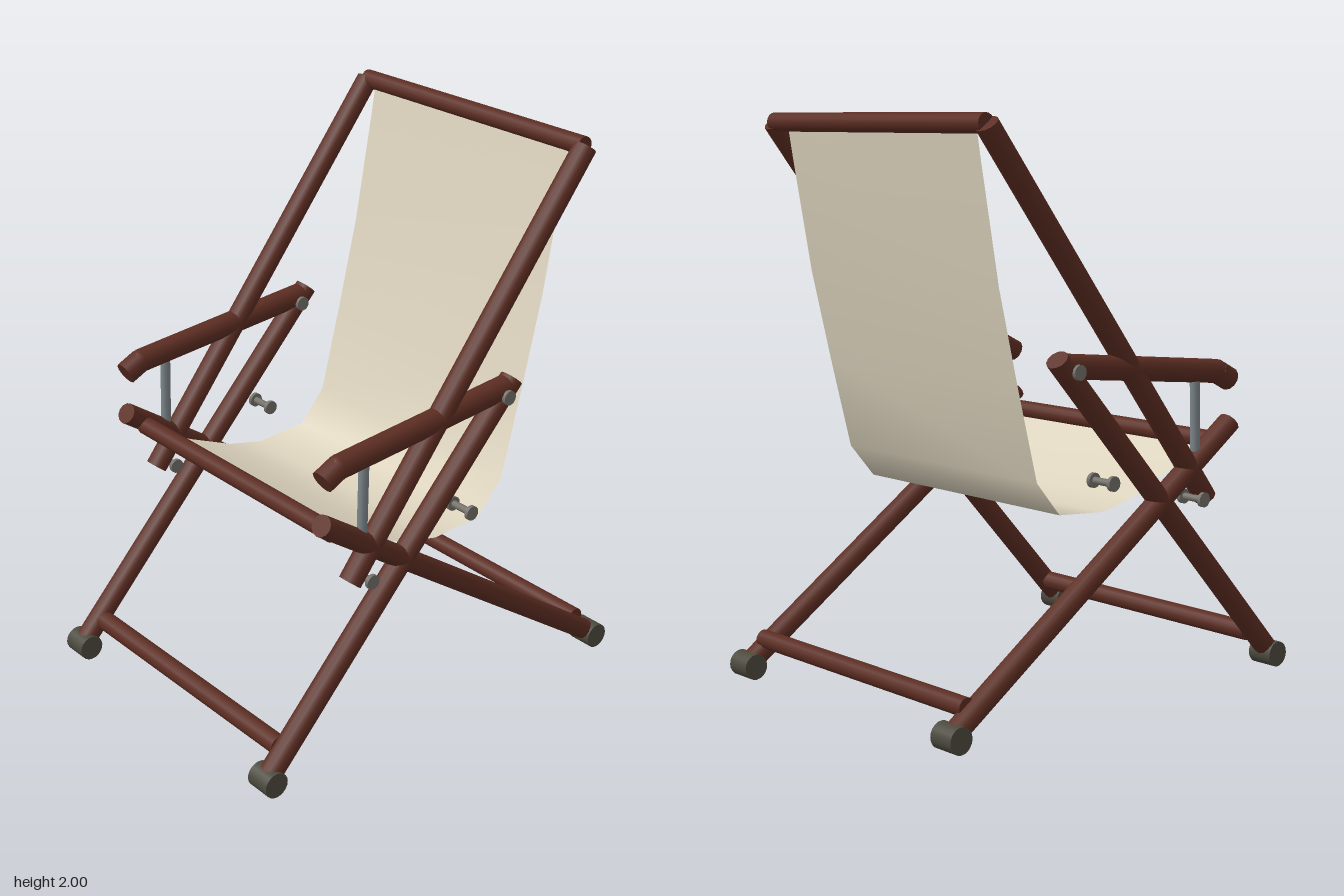
import * as THREE from 'three';

const wood = new THREE.MeshStandardMaterial({ color: 0x5c2d22 });
wood.name = 'dark wood';
const fabric = new THREE.MeshStandardMaterial({ color: 0xded5bf, side: THREE.DoubleSide });
fabric.name = 'cream canvas';
const rubber = new THREE.MeshStandardMaterial({ color: 0x4c4a3e });
rubber.name = 'rubber';
const steel = new THREE.MeshStandardMaterial({ color: 0x7c858b });
steel.name = 'steel';
const bolt = new THREE.MeshStandardMaterial({ color: 0x74716a });
bolt.name = 'bolt metal';

const SIDE_X = 0.562;

function add(parent, name, geometry, material) {
  const mesh = new THREE.Mesh(geometry, material);
  mesh.name = name;
  parent.add(mesh);
  return mesh;
}

// Rod in the side plane between [z, y] points, slightly wider in x
function rod(parent, name, x, a, b, rx, r, material) {
  const from = new THREE.Vector3(x, a[1], a[0]);
  const to = new THREE.Vector3(x, b[1], b[0]);
  const dir = to.clone().sub(from);
  const geo = new THREE.CylinderGeometry(r, r, dir.length(), 12);
  geo.scale(rx / r, 1, 1);
  const mesh = add(parent, name, geo, material);
  mesh.position.copy(from).add(to).multiplyScalar(0.5);
  mesh.rotation.x = Math.atan2(dir.z, dir.y);
  return mesh;
}

// Cylinder lying along x
function bar(parent, name, x, y, z, r, length, material, sides = 16) {
  const geo = new THREE.CylinderGeometry(r, r, length, sides).rotateZ(Math.PI / 2);
  const mesh = add(parent, name, geo, material);
  mesh.position.set(x, y, z);
  return mesh;
}

function createSide(s) {
  const side = new THREE.Group();
  side.name = s > 0 ? 'leftSide' : 'rightSide';
  const x = s * SIDE_X;

  // Crossing frame rails
  rod(side, 'frontLeg', x, [0.76, 0.05], [-0.305, 1.21], 0.043, 0.038, wood);
  rod(side, 'rearLeg', x, [-0.755, 0.05], [0.525, 0.92], 0.043, 0.038, wood);
  rod(side, 'backRail', x, [0.405, 0.67], [-0.605, 1.965], 0.043, 0.038, wood);

  // Armrest with a dropped front end
  rod(side, 'armrest', x, [-0.285, 1.187], [0.455, 1.108], 0.043, 0.042, wood);
  rod(side, 'armrestTip', x, [0.455, 1.108], [0.52, 1.075], 0.043, 0.042, wood);
  const elbow = add(side, 'armrestElbow', new THREE.SphereGeometry(0.042, 12, 8), wood);
  elbow.position.set(x, 1.108, 0.455);
  rod(side, 'armSupport', x, [0.355, 0.8], [0.347, 1.1], 0.018, 0.018, steel);

  // Rubber feet
  for (const [name, z] of [['frontFoot', 0.757], ['rearFoot', -0.757]]) {
    bar(side, name, x, 0.046, z, 0.046, 0.098, rubber, 20);
  }

  // Bolts with a head on each end
  for (const [z, y] of [[-0.25, 1.168], [-0.092, 0.783], [0.348, 0.672]]) {
    const group = new THREE.Group();
    group.name = 'pivotBolt';
    bar(group, 'boltShaft', 0, 0, 0, 0.013, 0.1, bolt, 12);
    for (const e of [-1, 1]) bar(group, 'boltHead', e * 0.047, 0, 0, 0.026, 0.014, bolt);
    group.position.set(x, y, z);
    side.add(group);
  }
  return side;
}

// Hanging canvas: side profile of [z, y] points swept across x
function createSling() {
  const profile = [
    [-0.592, 1.955], [-0.574, 1.85], [-0.5, 1.45], [-0.42, 1.125], [-0.335, 0.8],
    [-0.233, 0.68], [-0.03, 0.664], [0.11, 0.695], [0.28, 0.765], [0.445, 0.84],
  ];
  const geo = new THREE.PlaneGeometry(1, 1, 1, profile.length - 1);
  const pos = geo.attributes.position;
  for (let i = 0; i < pos.count; i++) {
    const [z, y] = profile[Math.floor(i / 2)];
    pos.setXYZ(i, pos.getX(i), y, z);
  }
  geo.computeVertexNormals();
  return geo;
}

export function createModel() {
  const chair = new THREE.Group();
  chair.name = 'deckChair';
  chair.add(createSide(1), createSide(-1));

  // Crossbars
  bar(chair, 'topBar', 0, 1.967, -0.605, 0.033, 1.12, wood);
  bar(chair, 'seatFrontBar', 0, 0.862, 0.46, 0.033, 1.08, wood);
  bar(chair, 'frontLegBar', 0, 0.13, 0.683, 0.035, 1.06, wood);
  bar(chair, 'rearLegBar', 0, 0.13, -0.69, 0.033, 1.12, wood);

  add(chair, 'sling', createSling(), fabric);
  return chair;
}
